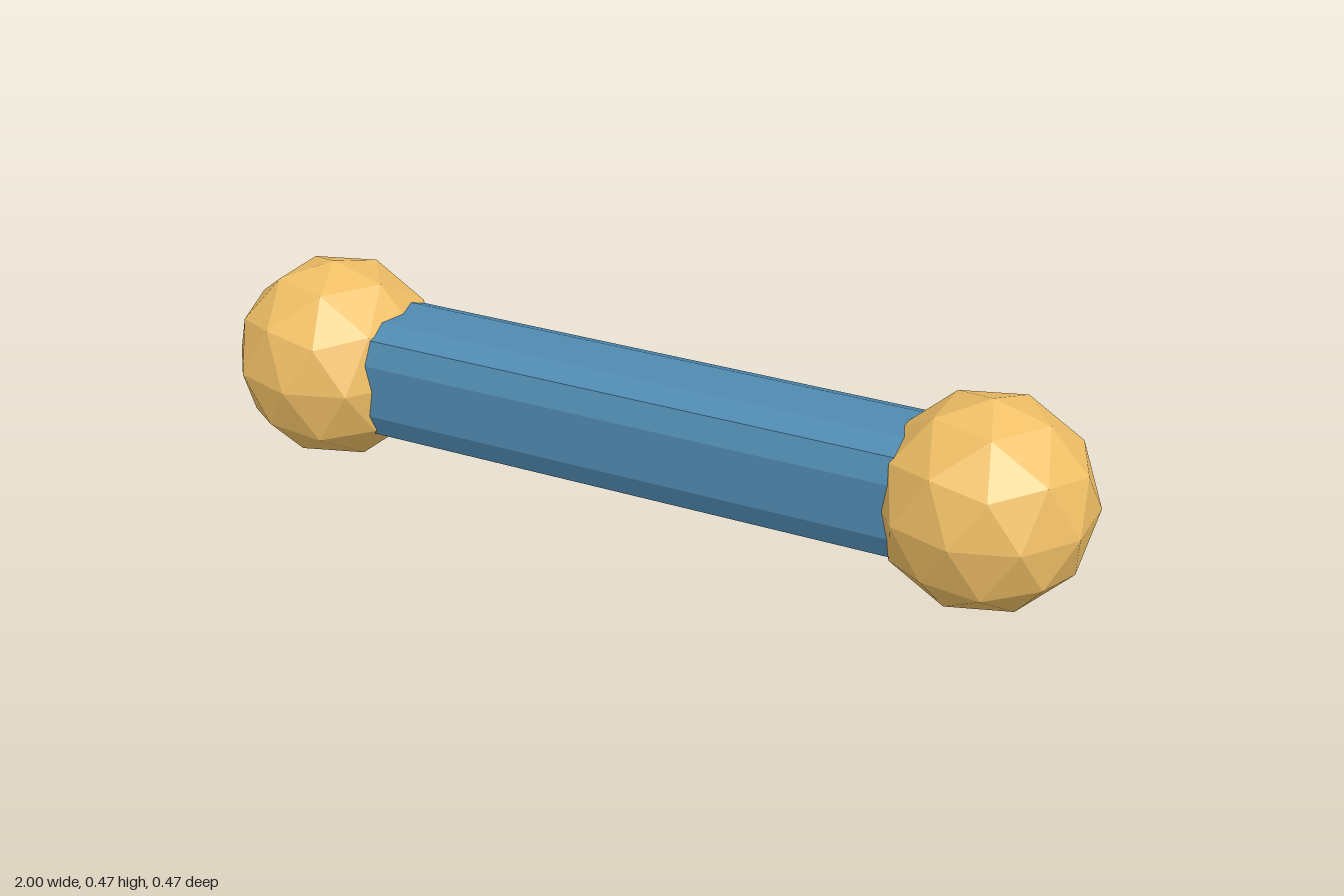
import * as THREE from 'three';

const CENTER_Y = 0.2345;
const BALL_RADIUS = 0.2325;
const BALL_X = 0.779;
const BAR_HALF = 0.137; // half the height and depth of the bar
const BEVEL = 0.0755; // radius of the bar's rounded corners

function addMesh(group, name, geometry, material, x) {
  const mesh = new THREE.Mesh(geometry, material);
  mesh.name = name;
  mesh.position.set(x, CENTER_Y, 0);
  group.add(mesh);
}

// Square outline with each corner rounded in two steps
function barOutline() {
  const points = [];
  const inner = BAR_HALF - BEVEL;
  for (let corner = 0; corner < 4; corner++) {
    const middle = Math.PI / 4 + (corner * Math.PI) / 2;
    const cx = inner * Math.sign(Math.cos(middle));
    const cy = inner * Math.sign(Math.sin(middle));
    for (let step = -1; step <= 1; step++) {
      const angle = middle + (step * Math.PI) / 4;
      points.push(new THREE.Vector2(cx + BEVEL * Math.cos(angle), cy + BEVEL * Math.sin(angle)));
    }
  }
  return new THREE.Shape(points);
}

export function createModel() {
  const group = new THREE.Group();
  group.name = 'dumbbell';
  const gold = new THREE.MeshStandardMaterial({ color: 0xf0bf66, flatShading: true });
  const blue = new THREE.MeshStandardMaterial({ color: 0x4f8ab0, flatShading: true });

  // Bevelled square bar, its ends buried in the balls
  const bar = new THREE.ExtrudeGeometry(barOutline(), { depth: BALL_X * 2, bevelEnabled: false });
  bar.translate(0, 0, -BALL_X);
  bar.rotateY(Math.PI / 2);
  addMesh(group, 'bar', bar, blue, 0);

  // Faceted end balls, turned so a five-sided corner points straight up
  const ball = new THREE.IcosahedronGeometry(BALL_RADIUS, 1);
  ball.rotateZ(-Math.atan(2 / (1 + Math.sqrt(5))));
  addMesh(group, 'leftBall', ball, gold, BALL_X);
  addMesh(group, 'rightBall', ball, gold, -BALL_X);

  return group;
}
